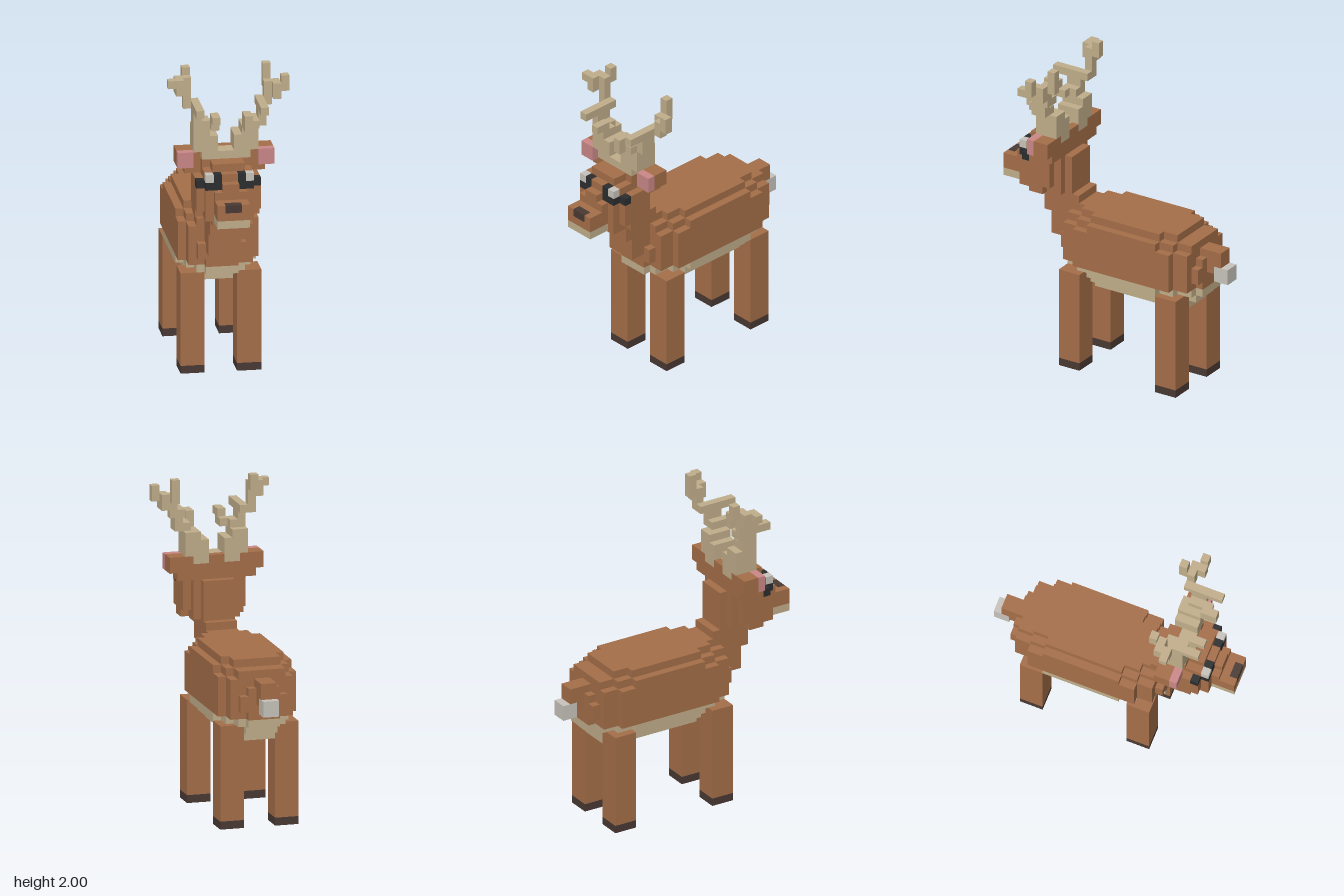
import * as THREE from 'three';
import { mergeGeometries } from 'three/addons/utils/BufferGeometryUtils.js';

const V = 0.05; // size of one block
const CX = -0.025; // symmetry plane of body and head

const mat = (name, color) => {
  const m = new THREE.MeshStandardMaterial({ color });
  m.name = name;
  return m;
};

// Block-aligned box from [x0, x1, y0, y1, z0, z1]
function block([x0, x1, y0, y1, z0, z1]) {
  const g = new THREE.BoxGeometry((x1 - x0) * V, (y1 - y0) * V, (z1 - z0) * V);
  return g.translate(CX + (x0 + x1) * V / 2, (y0 + y1) * V / 2, (z0 + z1) * V / 2);
}
const mid = ([h, ...r]) => [-h, h, ...r]; // centred box from half width
const flip = ([a, b, ...r]) => [-b, -a, ...r]; // mirrored box

export function createModel() {
  const root = new THREE.Group();
  root.name = 'deer';
  const fur = mat('brown fur', 0xa66f49);
  const tan = mat('tan', 0xc2af8c);
  const hoof = mat('dark hoof', 0x4a3a34);
  const black = mat('eye black', 0x2b2d2e);
  const white = mat('off white', 0xc9c5bd);
  const pink = mat('ear pink', 0xcc8888);

  const part = (name, material, boxes) => {
    const mesh = new THREE.Mesh(mergeGeometries(boxes.map(block)), material);
    mesh.name = name;
    root.add(mesh);
  };
  const pair = (name, material, boxes) => {
    part('left' + name, material, boxes);
    part('right' + name, material, boxes.map(flip));
  };

  // Rounded trunk
  part('body', fur, [
    [4, 20, 21, -8, 2], [3, 20, 21, -10, 4],
    [5, 19, 20, -8, 2], [4, 19, 20, -10, 4], [3, 19, 20, -12, 6],
    [5, 14, 19, -10, 4], [4, 14, 19, -12, 6],
    [3, 15, 17, -13, 7], [2, 14, 18, -13, 7],
  ].map(mid));
  part('belly', tan, [
    [5, 13, 14, -8, 2], [4, 13, 14, -10, 4], [3, 13, 14, -12, 6], [2, 13, 14, -13, 7],
    [4, 12, 13, -8, 2], [3, 12, 13, -10, 3], [2, 12, 13, -12, 3],
    [3, 11, 12, -8, 2], [2, 11, 12, -11, 3],
  ].map(mid));

  // Legs and hooves
  for (const [end, z] of [['Front', 3], ['Back', -11]]) {
    pair(end + 'Leg', fur, [[2, 5, 1, 13, z, z + 3]]);
    pair(end + 'Hoof', hoof, [[2, 5, 0, 1, z, z + 3]]);
  }

  // Tail
  part('tail', fur, [[1, 17, 19, -15, -12], [1, 16, 17, -14, -12]].map(mid));
  part('tailTip', white, [mid([1, 15, 17, -16, -14])]);

  // Neck, skull and muzzle
  part('neck', fur, [[2, 16, 19, 4, 9], [2, 19, 21, 4, 10], [2, 21, 22, 5, 12]].map(mid));
  part('head', fur, [
    [4, 23, 26, 8, 12], [4, 22, 23, 9, 11], [4, 26, 27, 8, 11],
    [3, 22, 26, 7, 13], [3, 26, 28, 7, 12], [2, 22, 27, 6, 12],
    [1, 26, 28, 12, 13], [3, 28, 29, 7, 10], [2, 28, 29, 7, 12], [1, 29, 30, 7, 8],
  ].map(mid));
  part('muzzle', fur, [
    [2, 23, 26, 12, 14], [1, 26, 27, 12, 14], [2, 23, 24, 12, 16],
    [2, 24, 25, 12, 15],
  ].map(mid).concat([[1, 2, 24, 25, 15, 16], [-2, -1, 24, 25, 15, 16]]));
  part('chin', tan, [mid([2, 22, 23, 13, 16])]);
  part('nose', hoof, [mid([1, 24, 25, 15, 16])]);

  // Eyes
  pair('Eye', black, [[1, 3, 26, 27, 12, 13], [3, 4, 26, 27, 11, 12], [1, 2, 27, 28, 12, 13]]);
  pair('EyeHighlight', white, [[2, 3, 27, 28, 12, 13]]);

  // Ears
  pair('Ear', fur, [[3, 5, 27, 28, 7, 9], [3, 6, 28, 30, 7, 9]]);
  pair('InnerEar', pink, [[4, 6, 28, 30, 9, 10]]);

  // Antlers: shared base, then differing branches
  part('antlerBridge', tan, [mid([1, 29, 30, 8, 10])]);
  pair('AntlerBase', tan, [[1, 3, 29, 32, 7, 10], [3, 4, 30, 33, 7, 10], [2, 3, 32, 33, 7, 10]]);
  part('leftAntler', tan, [
    [3, 4, 33, 34, 8, 11], [2, 3, 33, 35, 10, 12],
    [4, 5, 33, 35, 8, 10], [4, 5, 35, 36, 7, 12],
    [5, 6, 35, 38, 7, 8], [5, 6, 37, 40, 6, 7],
    [6, 7, 36, 38, 7, 9], [7, 8, 37, 39, 8, 9],
  ]);
  part('rightAntler', tan, [
    [2, 4, 33, 34, 8, 10], [2, 3, 33, 34, 9, 10], [1, 2, 33, 34, 9, 11], [1, 2, 34, 35, 10, 12],
    [3, 4, 34, 35, 8, 10], [3, 4, 35, 36, 7, 12],
    [4, 5, 35, 39, 7, 8], [4, 5, 38, 40, 6, 7],
    [5, 6, 37, 39, 7, 9], [6, 7, 38, 39, 8, 9],
  ].map(flip));

  return root;
}
